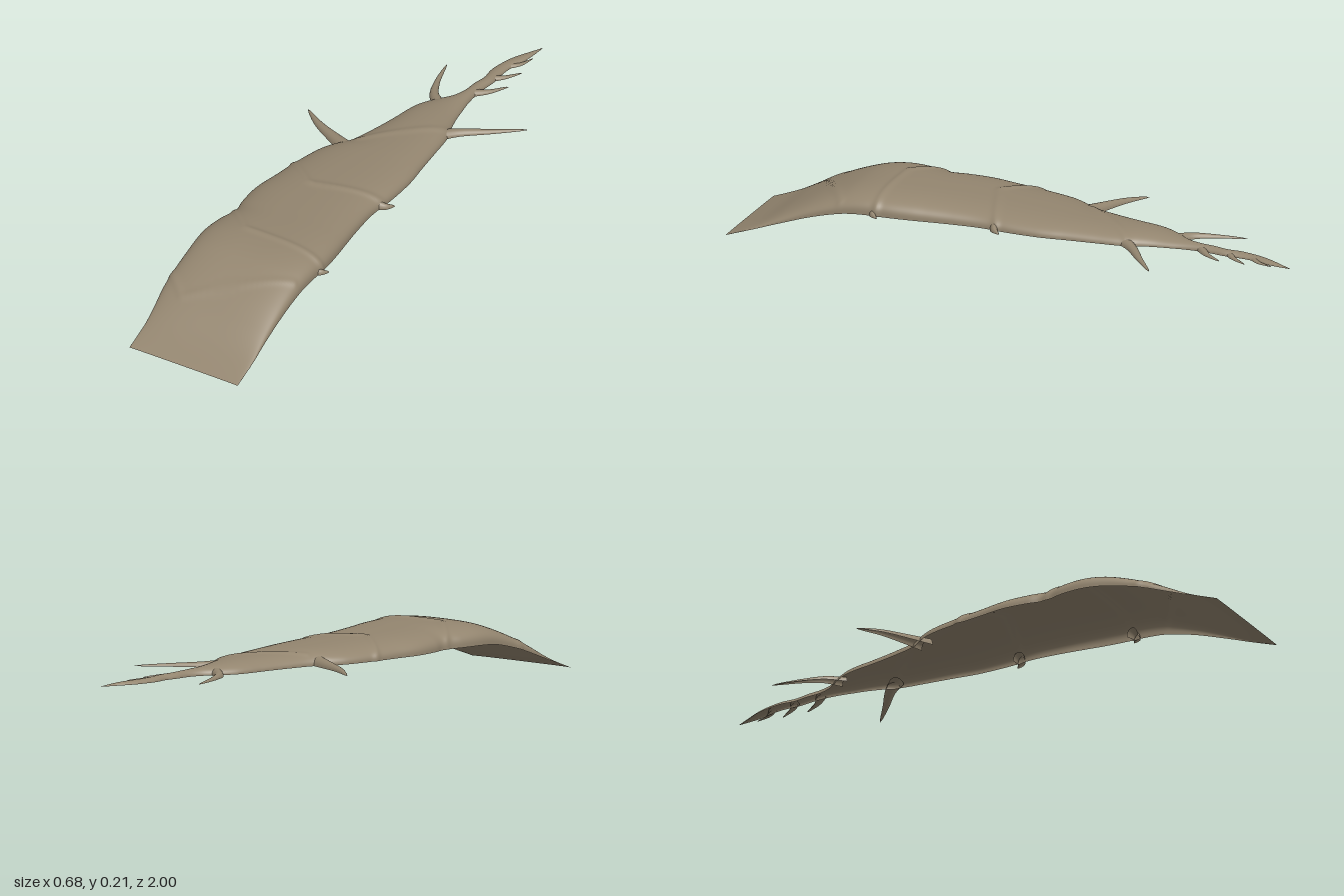
import * as THREE from 'three';

// Cubic interpolation through rows [z, ...values] sorted by falling z
function sample(rows, z) {
  let i = 0;
  while (i < rows.length - 2 && z < rows[i + 1][0]) i++;
  const a = rows[i], b = rows[i + 1];
  const p = rows[Math.max(i - 1, 0)], n = rows[Math.min(i + 2, rows.length - 1)];
  const h = b[0] - a[0], t = (z - a[0]) / h;
  return a.slice(1).map((v, k) => {
    const c = k + 1;
    const m0 = (b[c] - p[c]) / (b[0] - p[0]) * h, m1 = (n[c] - a[c]) / (n[0] - a[0]) * h;
    const t2 = t * t, t3 = t2 * t;
    return (2 * t3 - 3 * t2 + 1) * v + (t3 - 2 * t2 + t) * m0 + (3 * t2 - 2 * t3) * b[c] + (t3 - t2) * m1;
  });
}

// Skin a (rows+1) x (cols+1) grid of points
function skin(rows, cols, point) {
  const pos = [], idx = [];
  for (let i = 0; i <= rows; i++) {
    for (let j = 0; j <= cols; j++) {
      pos.push(...point(i / rows, j / cols));
      if (i < rows && j < cols) {
        const a = i * (cols + 1) + j, c = a + cols + 1;
        idx.push(a, a + 1, c, a + 1, c + 1, c);
      }
    }
  }
  const g = new THREE.BufferGeometry();
  g.setAttribute('position', new THREE.Float32BufferAttribute(pos, 3));
  g.setIndex(idx);
  g.computeVertexNormals();
  return g;
}

// Outline seen from above: z, -x edge, +x edge
const outline = [
  [1, -0.243, 0.176], [0.9, -0.243, 0.176], [0.83, -0.25, 0.172], [0.75, -0.26, 0.17],
  [0.6, -0.262, 0.17], [0.5, -0.265, 0.174], [0.42, -0.255, 0.175], [0.35, -0.235, 0.17],
  [0.29, -0.245, 0.163], [0.2, -0.249, 0.154], [0.1, -0.232, 0.15], [0, -0.215, 0.16],
  [-0.1, -0.19, 0.163], [-0.15, -0.165, 0.16], [-0.2, -0.128, 0.154], [-0.3, -0.095, 0.145],
  [-0.4, -0.07, 0.135], [-0.45, -0.06, 0.118], [-0.5, -0.045, 0.105], [-0.55, -0.015, 0.097],
  [-0.6, 0.025, 0.09], [-0.65, 0.045, 0.088], [-0.7, 0.05, 0.092], [-0.75, 0.06, 0.1],
  [-0.8, 0.057, 0.1], [-0.85, 0.066, 0.106], [-0.9, 0.082, 0.122], [-0.95, 0.108, 0.131],
  [-1, 0.134, 0.136],
];
// Side profile: z, rim height, crest height
const profile = [
  [1, 0, 0.002], [0.9, 0.034, 0.047], [0.8, 0.068, 0.103], [0.7, 0.101, 0.152], [0.6, 0.126, 0.19],
  [0.54, 0.134, 0.203], [0.47, 0.137, 0.208], [0.3, 0.137, 0.203], [0, 0.137, 0.192],
  [-0.3, 0.137, 0.18], [-0.45, 0.137, 0.174], [-0.6, 0.137, 0.16], [-0.8, 0.137, 0.152],
  [-0.92, 0.137, 0.147], [-1, 0.137, 0.138],
];
// Plate seams as x,z polylines
const seams = [
  [[-0.27, 0.7], [-0.17, 0.79], [0.15, 0.6]],
  [[-0.25, 0.34], [-0.12, 0.465], [0.2, 0.465]],
  [[-0.22, 0.01], [-0.08, 0.125], [0.2, 0.03]],
  [[-0.09, -0.2], [0.13, -0.42]],
];
const seamHeights = [0.003, 0.005, 0.005, 0.004];

function seamRaise(x, z) {
  let raise = 0;
  seams.forEach((line, s) => {
    let d = 9;
    for (let k = 0; k < line.length - 1; k++) {
      const [ax, az] = line[k], [bx, bz] = line[k + 1];
      const dx = bx - ax, dz = bz - az;
      const t = Math.min(1, Math.max(0, ((x - ax) * dx + (z - az) * dz) / (dx * dx + dz * dz)));
      d = Math.min(d, Math.hypot(x - ax - t * dx, z - az - t * dz));
    }
    raise += seamHeights[s] * Math.exp(-((d / 0.012) ** 2));
  });
  return raise;
}

// Arched open shell; boxy at the front, rounder toward the tail
function bodyGeometry() {
  return skin(300, 44, (u, v) => {
    const z = 1 - 2 * u;
    const [l, r] = sample(outline, z), [base, top] = sample(profile, z);
    const power = 2 / THREE.MathUtils.clamp(2.5 + z * 0.8, 2, 2.9);
    const a = Math.PI * (1 - v), c = Math.cos(a), s = Math.max(0, Math.sin(a));
    const x = (l + r) / 2 + (r - l) / 2 * Math.sign(c) * Math.abs(c) ** power;
    const raise = seamRaise(x, z);
    return [x + raise * c, base + (top - base) * s ** power + raise * s, z];
  });
}

// Curved half-round thorn along x,z points, tapering to its tip
function thornGeometry(points, width, height) {
  const curve = new THREE.CatmullRomCurve3(points.map(([x, z]) => new THREE.Vector3(x, 0.137, z)));
  return skin(20, 10, (u, v) => {
    const p = curve.getPoint(u), d = curve.getTangent(u);
    const taper = Math.sqrt(Math.max(0, 1 - u)) * (1 - 0.35 * u);
    const a = Math.PI * (1 - v), side = Math.cos(a) * width / 2 * taper;
    return [p.x - d.z * side, p.y + Math.sin(a) * height * taper, p.z + d.x * side];
  });
}

export function createModel() {
  const bark = new THREE.MeshStandardMaterial({ color: 0x93856f, side: THREE.DoubleSide });
  bark.name = 'dull brown';
  const group = new THREE.Group();
  group.name = 'thornyShell';
  const add = (name, geometry) => {
    const mesh = new THREE.Mesh(geometry, bark);
    mesh.name = name;
    group.add(mesh);
  };

  add('body', bodyGeometry());

  // Name, path, width, height
  const thorns = [
    ['rightSideThorn', [[-0.1, -0.165], [-0.18, -0.2], [-0.27, -0.245], [-0.345, -0.3]], 0.06, 0.032],
    ['rightRearThorn', [[0.02, -0.54], [-0.03, -0.585], [-0.06, -0.65], [-0.087, -0.76]], 0.045, 0.024],
    ['leftSideThorn', [[0.1, -0.39], [0.15, -0.44], [0.24, -0.505], [0.338, -0.58]], 0.05, 0.024],
    ['frontSeamNub', [[0.14, 0.475], [0.175, 0.475], [0.197, 0.453]], 0.04, 0.03],
    ['middleSeamNub', [[0.13, 0.055], [0.165, 0.045], [0.187, 0.02]], 0.04, 0.03],
    ['tailBarb1', [[0.075, -0.66], [0.115, -0.695], [0.155, -0.755]], 0.034, 0.016],
    ['tailBarb2', [[0.08, -0.76], [0.115, -0.79], [0.152, -0.845]], 0.03, 0.014],
    ['tailBarb3', [[0.09, -0.85], [0.12, -0.88], [0.14, -0.935]], 0.026, 0.011],
  ];
  for (const [name, path, width, height] of thorns) add(name, thornGeometry(path, width, height));
  return group;
}
